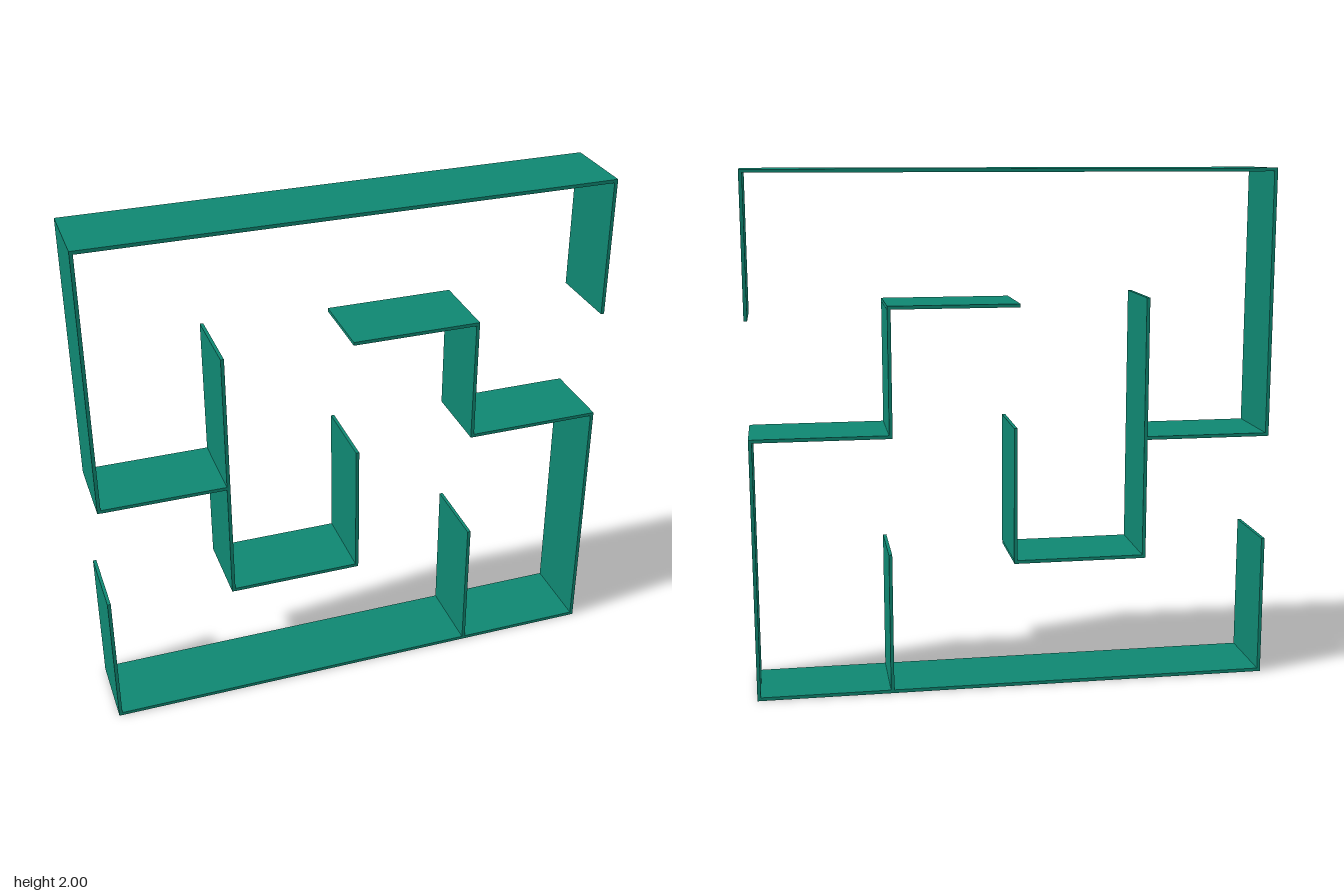
import * as THREE from 'three';

const T = 0.013; // wall thickness
const D = 0.3;   // wall depth along z

export function createModel() {
  const maze = new THREE.Group();
  maze.name = 'maze';
  const material = new THREE.MeshStandardMaterial({ color: 0x0f8772 });

  // A flat strip filling the rectangle x0..x1, y0..y1
  const strip = (name, x0, x1, y0, y1) => {
    const mesh = new THREE.Mesh(new THREE.BoxGeometry(x1 - x0, y1 - y0, D), material);
    mesh.position.set((x0 + x1) / 2, (y0 + y1) / 2, 0);
    mesh.name = name;
    maze.add(mesh);
  };
  const wall = (name, x, y0, y1) => strip(name, x - T / 2, x + T / 2, y0, y1);
  const shelf = (name, y, x0, x1) => strip(name, x0, x1, y - T / 2, y + T / 2);

  const edge = 1 - T / 2;

  // Outer frame, with an opening on each side
  shelf('bottomWall', T / 2, -1, 1);
  shelf('topWall', 2 - T / 2, -1, 1);
  wall('rightLowerWall', -edge, T, 0.555);
  wall('rightUpperWall', -edge, 0.97, 2 - T);
  wall('leftLowerWall', edge, T, 1.018);
  wall('leftUpperWall', edge, 1.457, 2 - T);

  // Stub standing on the bottom wall
  wall('bottomStub', 0.483, T, 0.555);

  // Hook reaching in from the right side
  shelf('hookShelf', 0.976, -1 + T, -0.508 - T / 2);
  wall('hookLongWall', -0.508, 0.498, 1.518);
  shelf('hookFloor', 0.504, -0.508 + T / 2, 0.005);
  wall('hookShortWall', 0, 0.504 + T / 2, 1.03);

  // Step reaching in from the left side
  shelf('stepLowerShelf', 1.012, 0.468, 1 - T);
  wall('stepRiser', 0.474, 1.012 + T / 2, 1.497 - T / 2);
  shelf('stepUpperShelf', 1.497, -0.017, 0.48);

  return maze;
}
